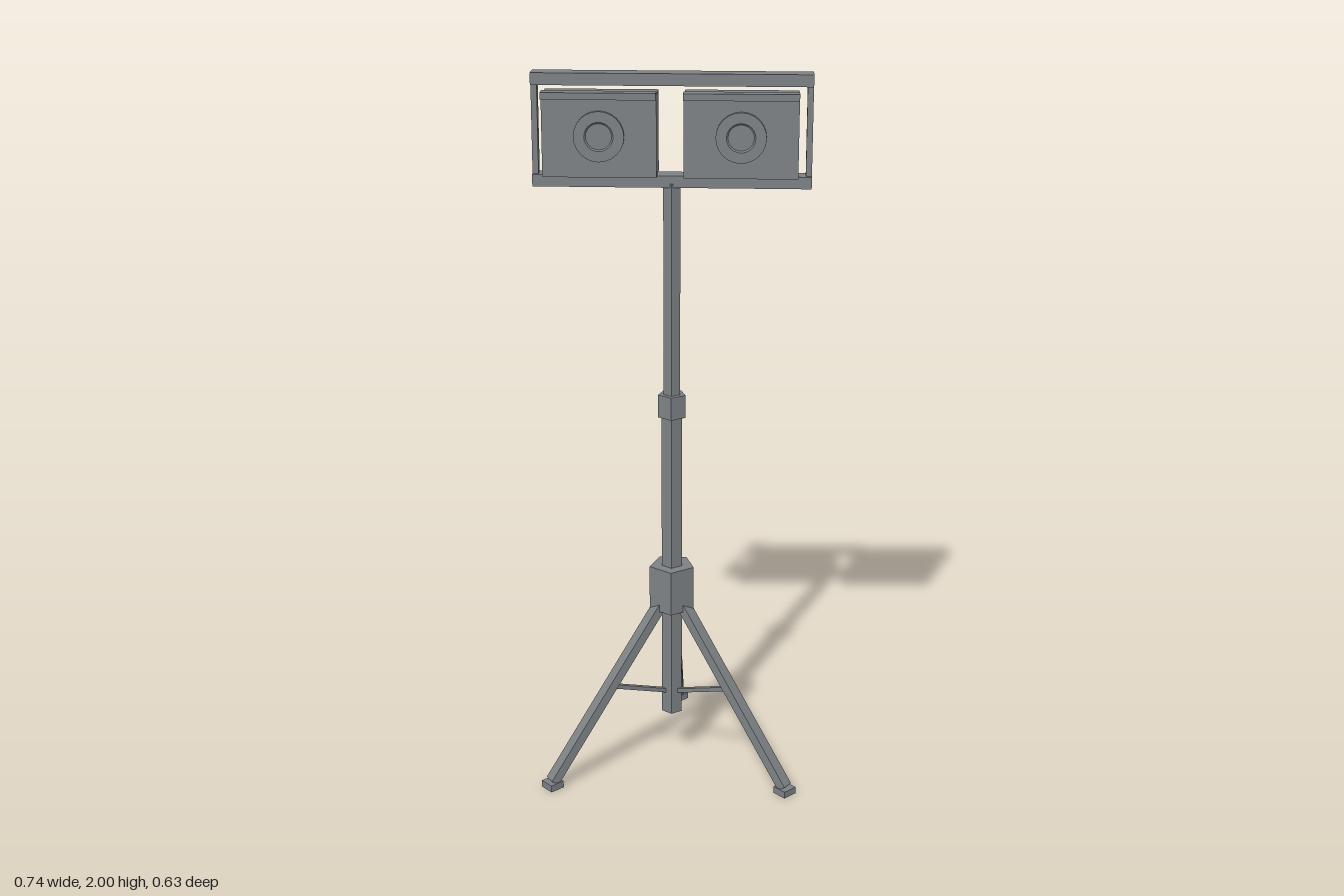
import * as THREE from 'three';

const POLE_Z = 0.077;

export function createModel() {
  const model = new THREE.Group();
  model.name = 'tripodWorkLight';
  const metal = new THREE.MeshStandardMaterial({ color: 0x7d8285 });
  metal.name = 'grey metal';
  metal.flatShading = true;

  const add = (name, geometry, x, y, z, parent = model) => {
    const mesh = new THREE.Mesh(geometry, metal);
    mesh.name = name;
    mesh.position.set(x, y, z);
    parent.add(mesh);
    return mesh;
  };
  // Box given by its extents
  const box = (name, x0, x1, y0, y1, z0, z1, parent) =>
    add(name, new THREE.BoxGeometry(x1 - x0, y1 - y0, z1 - z0),
      (x0 + x1) / 2, (y0 + y1) / 2, (z0 + z1) / 2, parent);
  // Five-sided upright tube
  const tube = (name, r, y0, y1) =>
    add(name, new THREE.CylinderGeometry(r, r, y1 - y0, 5), 0, (y0 + y1) / 2, POLE_Z);
  // Square bar between two points, its width kept level
  const beam = (name, a, b, width, thick) => {
    const dir = b.clone().sub(a);
    const mesh = add(name, new THREE.BoxGeometry(width, thick, dir.length()), 0, 0, 0);
    mesh.position.copy(a).add(b).multiplyScalar(0.5);
    mesh.lookAt(b);
    return mesh;
  };

  // Telescopic mast
  tube('lowerMast', 0.03, 0.15, 1.06);
  tube('upperMast', 0.024, 1.06, 1.71);
  tube('mastCollar', 0.04, 1.055, 1.12);
  tube('tripodHub', 0.0658, 0.48, 0.61);

  // Three legs with braces and feet
  for (const [fx, fz] of [[0, -0.285], [0.33, 0.282], [-0.33, 0.282]]) {
    const centre = new THREE.Vector3(0, 0, POLE_Z);
    const out = new THREE.Vector3(fx, 0, fz).sub(centre);
    const reach = out.length();
    out.normalize();
    const at = (r, y) => centre.clone().addScaledVector(out, r).setY(y);
    beam('leg', at(0.035, 0.5), at(reach, 0.02), 0.034, 0.026);
    beam('legBrace', at(0.018, 0.217), at(0.19, 0.272), 0.012, 0.012);
    const foot = add('foot', new THREE.BoxGeometry(0.044, 0.02, 0.044), fx, 0.01, fz);
    foot.rotation.y = Math.PI / 4;
  }

  // Lamp frame
  box('frameBottomRail', -0.37, 0.37, 1.7, 1.732, 0.042, 0.098);
  box('frameTopRail', -0.37, 0.37, 1.968, 2, 0.042, 0.098);
  for (const s of [-1, 1]) {
    box('frameUpright', s * 0.362 - 0.008, s * 0.362 + 0.008, 1.73, 1.97, 0.059, 0.086);
  }

  // Lens: raised rim with a shallow dished centre
  const lensProfile = [[0.066, 0], [0.066, 0.011], [0.038, 0.011], [0.034, 0.007], [0, 0.007]]
    .map(([r, h]) => new THREE.Vector2(r, h));
  const lensGeometry = new THREE.LatheGeometry(lensProfile, 24);
  lensGeometry.rotateX(Math.PI / 2);

  // Two lamp heads, each with a visor
  for (const s of [-1, 1]) {
    const lamp = new THREE.Group();
    lamp.name = s > 0 ? 'leftLamp' : 'rightLamp';
    model.add(lamp);
    const x = s * 0.184;
    box('lampHousing', x - 0.149, x + 0.149, 1.742, 1.956, 0.075, 0.178, lamp);
    box('lampVisor', x - 0.149, x + 0.149, 1.947, 1.965, 0.163, 0.2, lamp);
    add('lens', lensGeometry, x, 1.85, 0.178, lamp);
  }
  return model;
}
